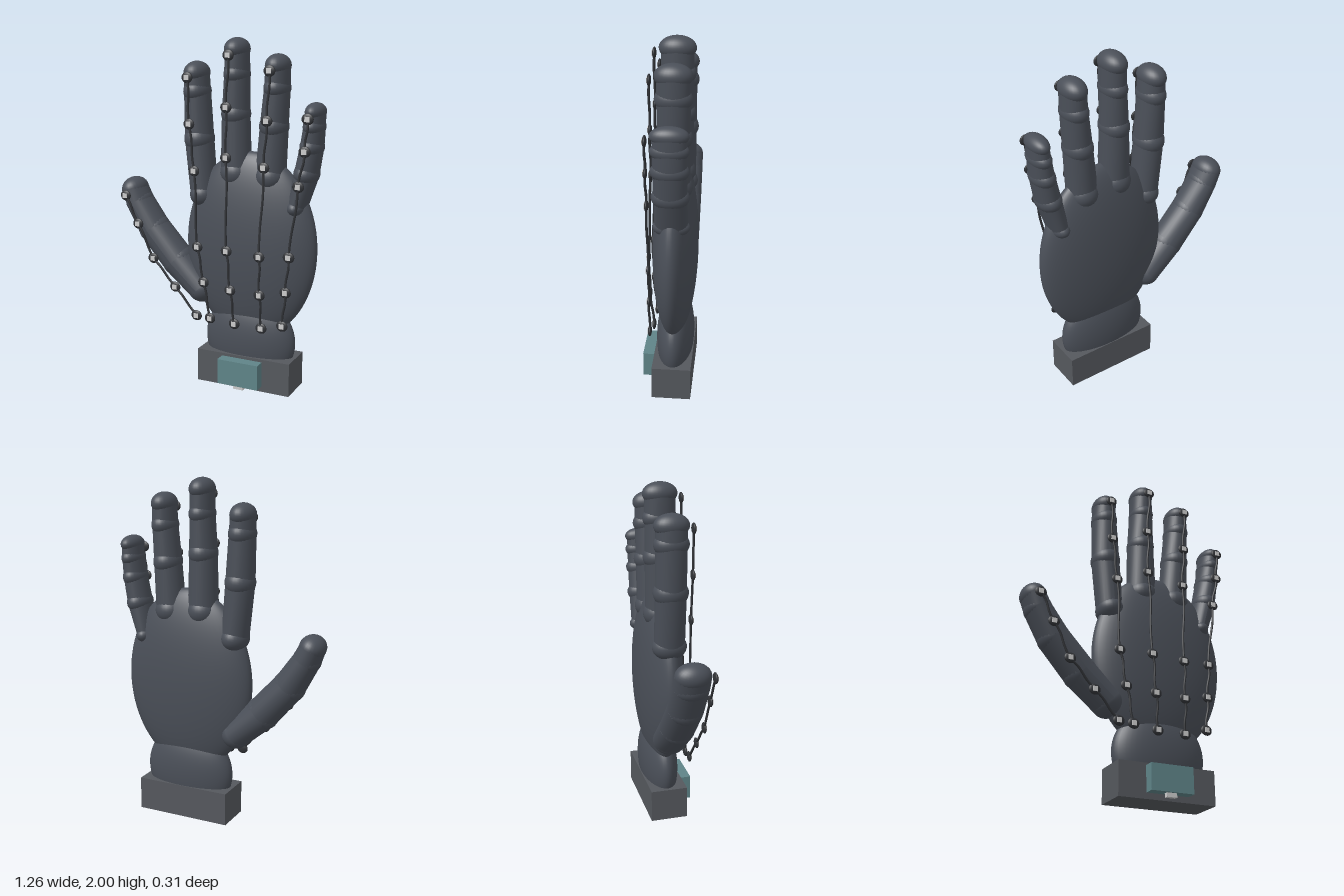
import * as THREE from 'three';

const Z = -0.026; // mid plane of the hand

const skin = new THREE.MeshStandardMaterial({ color: 0x4a4f58 });
const cuffGrey = new THREE.MeshStandardMaterial({ color: 0x55585d });
const teal = new THREE.MeshStandardMaterial({ color: 0x5f8488 });
const wireDark = new THREE.MeshStandardMaterial({ color: 0x303236 });
const chipLight = new THREE.MeshStandardMaterial({ color: 0xcccccc });

function add(parent, name, geometry, material, x, y, z) {
  const mesh = new THREE.Mesh(geometry, material);
  mesh.name = name;
  mesh.position.set(x, y, z);
  parent.add(mesh);
  return mesh;
}

function ellipsoid(rx, ry, rz, w = 40, h = 28) {
  return new THREE.SphereGeometry(1, w, h).scale(rx, ry, rz);
}

// A finger: flattened tapered segments with a bulging joint at each point [x, y, radius]
function makeFinger(name, joints, segmentDepth) {
  const finger = new THREE.Group();
  finger.name = name;
  joints.forEach(([x, y, r], i) => {
    const last = i === joints.length - 1;
    const [ax, ay] = last ? joints[i - 1] : [x, y];
    const [bx, by, br] = last ? joints[i] : joints[i + 1];
    const angle = Math.atan2(ax - bx, by - ay);
    const joint = add(finger, last ? 'fingertip' : 'joint',
      ellipsoid(r, r * 0.95, 0.1, 28, 20), skin, x, y, Z);
    joint.rotation.z = angle;
    if (last) return;
    const length = Math.hypot(bx - x, by - y);
    const geometry = new THREE.CylinderGeometry(br * 0.97, r * 0.97, length, 24);
    // Constant depth front to back while the width tapers
    const p = geometry.attributes.position;
    for (let k = 0; k < p.count; k++) {
      const radius = p.getY(k) > 0 ? br : r;
      p.setZ(k, p.getZ(k) / (radius * 0.97) * segmentDepth);
    }
    geometry.computeVertexNormals();
    const segment = add(finger, 'segment', geometry, skin, (x + bx) / 2, (y + by) / 2, Z);
    segment.rotation.z = angle;
  });
  return finger;
}

// A sensor strand: a thin wire linking small nodes, each with a square chip
function makeStrand(name, nodes, depthAt) {
  const strand = new THREE.Group();
  strand.name = name;
  const points = nodes.map(([x, y]) => new THREE.Vector3(x, y, depthAt(y)));
  const path = [];
  points.forEach((p, i) => {
    path.push(p);
    if (i === points.length - 1) return;
    const q = points[i + 1];
    // Slight slack between nodes
    path.push(p.clone().lerp(q, 0.3).add(new THREE.Vector3(0.006, 0, 0.002)));
    path.push(p.clone().lerp(q, 0.7).add(new THREE.Vector3(-0.003, 0, -0.001)));
  });
  const curve = new THREE.CatmullRomCurve3(path);
  add(strand, 'wire', new THREE.TubeGeometry(curve, 90, 0.007, 8), wireDark, 0, 0, 0);
  for (const p of points) {
    add(strand, 'sensorNode', ellipsoid(0.034, 0.031, 0.011, 18, 12), wireDark, p.x, p.y, p.z);
    add(strand, 'sensorChip', new THREE.BoxGeometry(0.028, 0.028, 0.012), chipLight,
      p.x, p.y, p.z + 0.007);
  }
  return strand;
}

// Strand depth: close to the fingers, lifted over the palm, dropping at the wrist
function palmDepth(y) {
  if (y > 1.3) return 0.097;
  if (y > 0.82) return THREE.MathUtils.mapLinear(y, 0.82, 1.3, 0.115, 0.097);
  if (y > 0.6) return THREE.MathUtils.mapLinear(y, 0.6, 0.82, 0.11, 0.115);
  return THREE.MathUtils.mapLinear(y, 0.38, 0.6, 0.087, 0.11);
}

export function createModel() {
  const hand = new THREE.Group();
  hand.name = 'sensorHand';

  // Palm, wrist and cuff
  add(hand, 'palm', ellipsoid(0.4, 0.545, 0.125, 56, 40), skin, 0.2, 0.83, Z);
  add(hand, 'wrist', ellipsoid(0.278, 0.265, 0.107, 48, 32), skin, 0.203, 0.272, Z);
  add(hand, 'cuff', new THREE.BoxGeometry(0.575, 0.195, 0.22), cuffGrey, 0.203, 0.0975, -0.023);

  // Control unit on the front of the cuff, with its plug
  add(hand, 'controlUnit', new THREE.BoxGeometry(0.25, 0.147, 0.064), teal, 0.2, 0.107, 0.122);
  add(hand, 'plug', new THREE.BoxGeometry(0.06, 0.03, 0.026), chipLight, 0.2, 0.025, 0.127);

  // Fingers
  const fingers = {
    thumb: [[-0.105, 0.54, 0.088], [-0.27, 0.69, 0.1], [-0.43, 0.87, 0.095],
      [-0.53, 1.03, 0.08], [-0.562, 1.105, 0.074]],
    indexFinger: [[-0.095, 1.11, 0.08], [-0.125, 1.43, 0.086], [-0.137, 1.7, 0.076],
      [-0.14, 1.802, 0.07]],
    middleFinger: [[0.108, 1.25, 0.092], [0.105, 1.58, 0.081], [0.11, 1.8, 0.071],
      [0.11, 1.935, 0.068]],
    ringFinger: [[0.318, 1.24, 0.09], [0.335, 1.52, 0.081], [0.35, 1.73, 0.072],
      [0.353, 1.85, 0.068]],
    littleFinger: [[0.48, 1.08, 0.055], [0.53, 1.27, 0.07], [0.557, 1.42, 0.065],
      [0.568, 1.53, 0.058], [0.573, 1.61, 0.053]],
  };
  for (const [name, joints] of Object.entries(fingers)) {
    hand.add(makeFinger(name, joints, name === 'thumb' ? 0.101 : 0.088));
  }

  // Sensor strands
  const strands = {
    thumbStrand: [[-0.555, 1.08], [-0.473, 0.917], [-0.373, 0.718], [-0.228, 0.56],
      [-0.087, 0.405]],
    indexStrand: [[-0.14, 1.78], [-0.13, 1.523], [-0.1, 1.259], [-0.082, 0.819],
      [-0.042, 0.612], [0, 0.4]],
    middleStrand: [[0.111, 1.905], [0.098, 1.624], [0.098, 1.346], [0.111, 0.819],
      [0.132, 0.59], [0.15, 0.385]],
    ringStrand: [[0.352, 1.826], [0.339, 1.56], [0.325, 1.306], [0.31, 0.808],
      [0.312, 0.585], [0.317, 0.384]],
    littleStrand: [[0.571, 1.58], [0.558, 1.407], [0.526, 1.216], [0.479, 0.82],
      [0.463, 0.617], [0.447, 0.42]],
  };
  const flat = () => 0.097;
  for (const [name, nodes] of Object.entries(strands)) {
    const side = name === 'thumbStrand' || name === 'indexStrand' || name === 'littleStrand';
    hand.add(makeStrand(name, nodes, side ? flat : palmDepth));
  }
  return hand;
}
